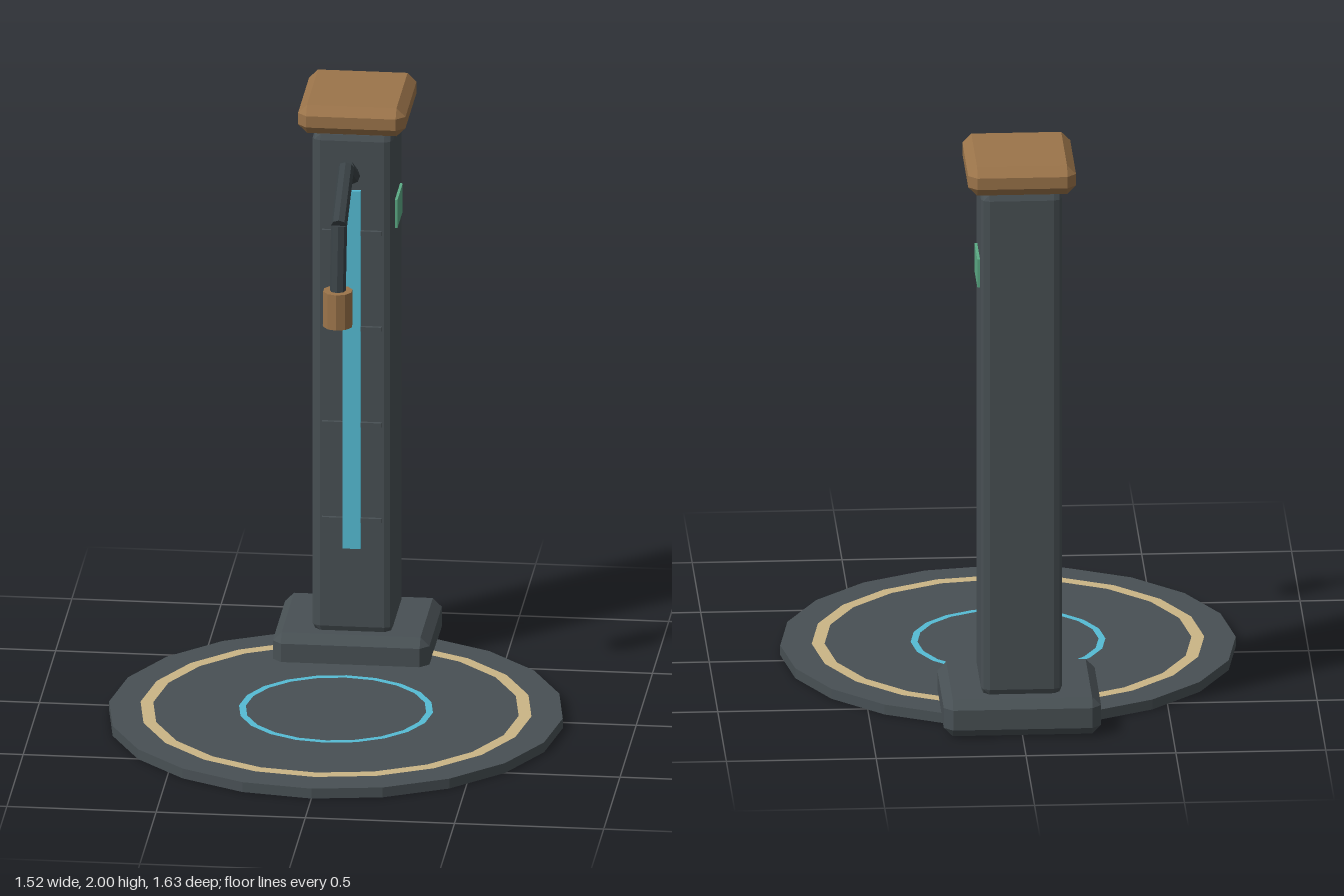
import * as THREE from 'three';
import { ConvexGeometry } from 'three/addons/geometries/ConvexGeometry.js';

function material(name, color, extra = {}) {
  const m = new THREE.MeshStandardMaterial({ color, flatShading: true, ...extra });
  m.name = name;
  return m;
}

// Box with bevelled edges: each corner is an octant of `steps` bevel facets.
function bevelBox(w, h, d, r, steps = 1) {
  const points = [];
  for (const sx of [-1, 1]) for (const sy of [-1, 1]) for (const sz of [-1, 1]) {
    for (let i = 0; i <= steps; i++) for (let j = 0; j <= steps - i; j++) {
      const n = new THREE.Vector3(i, j, steps - i - j).normalize().multiplyScalar(r);
      points.push(new THREE.Vector3(
        sx * (w / 2 - r + n.x), sy * (h / 2 - r + n.y), sz * (d / 2 - r + n.z)));
    }
  }
  return new ConvexGeometry(points);
}

export function createModel() {
  const group = new THREE.Group();
  const metal = material('slate metal', 0x485054);
  const darkMetal = material('dark metal', 0x3a4246);
  const wood = material('warm wood', 0x9b744a);
  const cyan = material('cyan light', 0x55bcd4);
  const tan = material('sand marking', 0xcbb586);
  const green = material('green panel', 0x5cab86);

  function add(name, geometry, mat, x = 0, y = 0, z = 0) {
    const mesh = new THREE.Mesh(geometry, mat);
    mesh.name = name;
    mesh.position.set(x, y, z);
    group.add(mesh);
    return mesh;
  }

  // Round floor pad with two painted rings
  const padZ = 0.055;
  add('floorPad', new THREE.CylinderGeometry(0.76, 0.76, 0.035, 20), metal, 0, 0.0175, padZ);
  const ring = (name, inner, outer, mat) => add(name,
    new THREE.RingGeometry(inner, outer, 20).rotateX(-Math.PI / 2), mat, 0, 0.038, padZ);
  ring('outerRing', 0.612, 0.655, tan);
  ring('innerRing', 0.302, 0.325, cyan);

  // Foot, column and wooden cap
  add('foot', bevelBox(0.525, 0.13, 0.44, 0.03), metal, 0, 0.065, -0.6);
  add('column', bevelBox(0.27, 1.78, 0.315, 0.028, 2), metal, 0, 1.01, -0.5975);
  add('cap', bevelBox(0.36, 0.1, 0.4, 0.03), wood, 0, 1.95, -0.6);

  // Light strip with graduation bars behind it
  add('lightStrip', new THREE.BoxGeometry(0.06, 1.27, 0.015), cyan, 0, 1.065, -0.4325);
  for (let i = 0; i < 4; i++) {
    add('graduationBar', new THREE.BoxGeometry(0.2, 0.016, 0.013), metal, 0, 0.53 + i * 0.34, -0.4345);
  }

  // Side panel
  add('sidePanel', new THREE.BoxGeometry(0.009, 0.1, 0.162), green, 0.1395, 1.592, -0.595);

  // Jointed arm made of straight tubes, given as [y, z] ends
  const joints = [[1.735, -0.47], [1.848, -0.255], [1.72, -0.04], [1.5, 0]];
  for (let i = 0; i < 3; i++) {
    const a = new THREE.Vector3(0, ...joints[i]);
    const b = new THREE.Vector3(0, ...joints[i + 1]);
    const dir = b.clone().sub(a);
    const tube = add('armSegment', new THREE.CylinderGeometry(0.027, 0.027, dir.length(), 8), darkMetal);
    tube.position.copy(a).add(b).multiplyScalar(0.5);
    tube.quaternion.setFromUnitVectors(new THREE.Vector3(0, 1, 0), dir.normalize());
  }

  // Wooden nozzle at the arm's end
  add('nozzle', new THREE.CylinderGeometry(0.05, 0.05, 0.125, 10), wood, 0, 1.4425, 0);

  return group;
}
